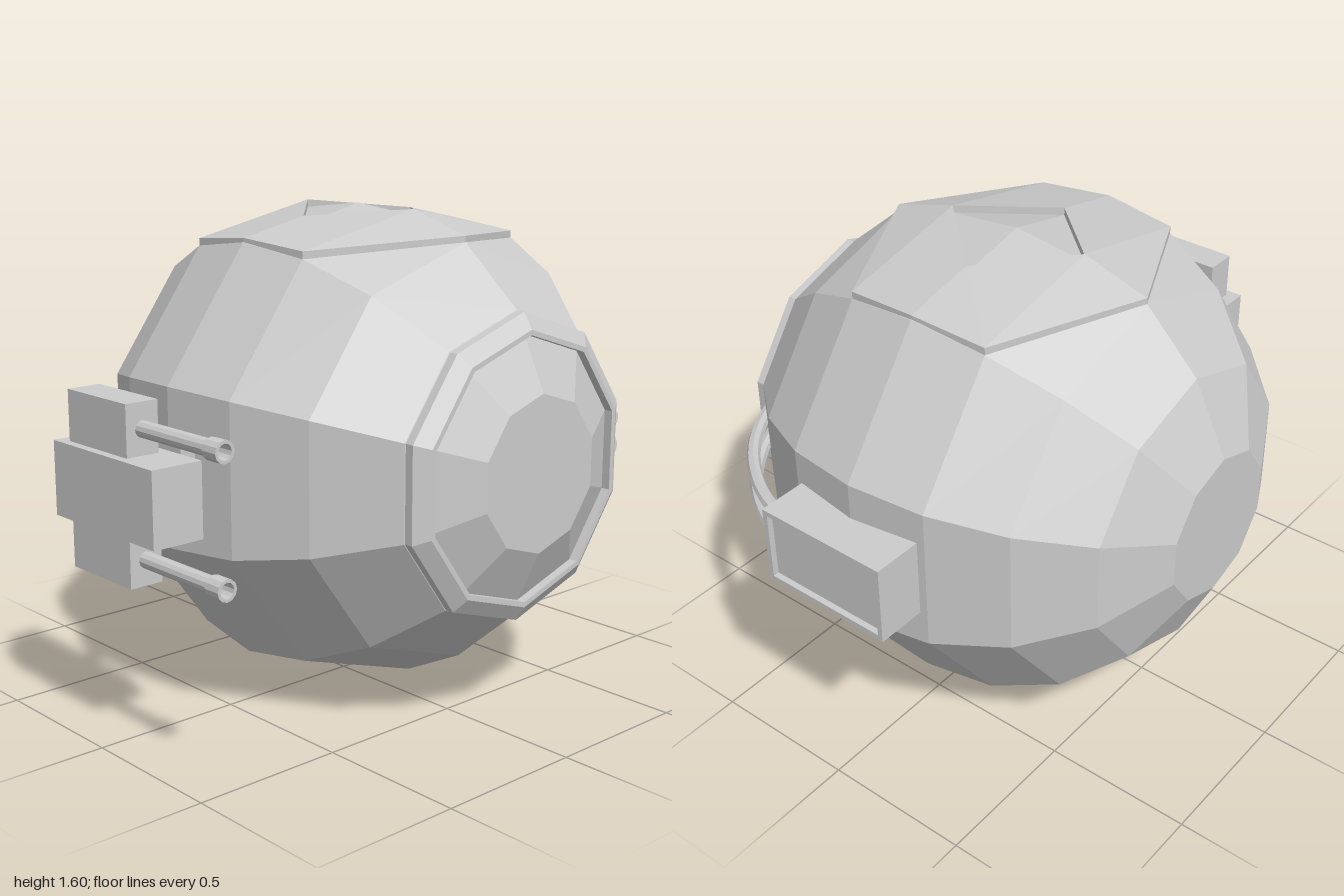
import * as THREE from 'three';

const CY = 0.835, CZ = -0.08; // centre of the ball's axis, which runs along x
const SIDES = 10;

function grey() {
  return new THREE.MeshStandardMaterial({ color: 0xcccccc, flatShading: true, side: THREE.DoubleSide });
}

function add(parent, name, geometry, x = 0, y = 0, z = 0) {
  const mesh = new THREE.Mesh(geometry, grey());
  mesh.name = name;
  mesh.position.set(x, y, z);
  parent.add(mesh);
  return mesh;
}

// Box given by its limits on each axis
function box(parent, name, [x0, x1], [y0, y1], [z0, z1]) {
  return add(parent, name, new THREE.BoxGeometry(x1 - x0, y1 - y0, z1 - z0),
    (x0 + x1) / 2, (y0 + y1) / 2, (z0 + z1) / 2);
}

// Triangles from a list of corner triples
function fromTriangles(tris) {
  const g = new THREE.BufferGeometry();
  g.setAttribute('position', new THREE.Float32BufferAttribute(tris.flat(2), 3));
  g.computeVertexNormals();
  return g;
}

// Lathe turned so that its axis points along +x; profile is [radius, x]
function latheX(profile, sides, phase = 0) {
  const g = new THREE.LatheGeometry(profile.map(([r, x]) => new THREE.Vector2(r, x)), sides);
  g.rotateY(phase);
  g.rotateZ(-Math.PI / 2);
  return g;
}

// Faceted ball with flat ends; its crown is lowered beneath the hatch plate
function ballGeometry() {
  const rings = [[-0.8, 0.25], [-0.685, 0.49], [-0.5, 0.675], [-0.27, 0.79], [-0.015, 0.83],
    [0.24, 0.79], [0.47, 0.675], [0.685, 0.49], [0.8, 0.25]];
  const point = (i, j) => {
    const [x, r] = rings[i], a = (j / SIDES) * Math.PI * 2;
    return [x, Math.min(CY + r * Math.cos(a), 1.525), CZ + r * Math.sin(a)];
  };
  const tris = [];
  for (let j = 0; j < SIDES; j++) {
    for (let i = 0; i < rings.length - 1; i++) {
      const a = point(i, j), b = point(i + 1, j), c = point(i + 1, j + 1), d = point(i, j + 1);
      if ((i < 4) === (j < SIDES / 2)) tris.push([a, d, c], [a, c, b]);
      else tris.push([a, d, b], [b, d, c]);
    }
    tris.push([[-0.8, CY, CZ], point(0, j + 1), point(0, j)]);
    tris.push([[0.8, CY, CZ], point(8, j), point(8, j + 1)]);
  }
  return fromTriangles(tris);
}

// Raised plate on the crown with a sunken diamond panel
function buildHatch(parent) {
  const outline = [[0.47, 1.53, 0], [0.24, 1.498, 0.464], [-0.015, 1.52, 0.485], [-0.27, 1.498, 0.464],
    [-0.5, 1.53, 0], [-0.27, 1.498, -0.464], [-0.015, 1.52, -0.485], [0.24, 1.498, -0.464]]
    .map(([x, y, z]) => [x, y, z + CZ]);
  const diamond = [[0.24, 1.597, 0], [-0.015, 1.573, 0.24], [-0.27, 1.597, 0], [-0.015, 1.573, -0.24]]
    .map(([x, y, z]) => [x, y, z + CZ]);
  const down = ([x, y, z], h) => [x, y - h, z];
  const plate = [], panel = [], centre = [-0.015, 1.602, CZ];
  outline.forEach((p, i) => {
    const q = outline[(i + 1) % 8];
    plate.push([p, q, down(p, 0.03)], [q, down(q, 0.03), down(p, 0.03)]);
  });
  diamond.forEach((d, k) => {
    const e = diamond[(k + 1) % 4];
    const corner = outline[(2 * k + 1) % 8];
    plate.push([d, corner, outline[2 * k]], [d, e, corner], [e, outline[(2 * k + 2) % 8], corner]);
    plate.push([d, down(d, 0.025), e], [e, down(d, 0.025), down(e, 0.025)]);
    panel.push([centre, down(e, 0.025), down(d, 0.025)]);
  });
  // Wind every top face upward
  for (const t of [...plate, ...panel]) {
    const [a, b, c] = t.map((p) => new THREE.Vector3(...p));
    const n = b.sub(a).cross(c.sub(a)).normalize();
    if (n.y < -0.3) t.reverse();
  }
  add(parent, 'hatchPlate', fromTriangles(plate));
  add(parent, 'hatchPanel', fromTriangles(panel));
}

// Twin gun on a short pivot
function buildGun(parent) {
  const gun = new THREE.Group();
  gun.name = 'twinGun';
  parent.add(gun);
  box(gun, 'gunBase', [-0.125, 0.095], [0.725, 0.945], [0.66, 0.745]);
  const pivot = add(gun, 'gunPivot', new THREE.CylinderGeometry(0.038, 0.038, 0.12, 12), -0.015, 0.82, 0.78);
  pivot.rotation.x = Math.PI / 2;
  box(gun, 'gunBody', [-0.2, 0.305], [0.705, 0.94], [0.825, 1]);
  const profile = [[0, 0], [0.026, 0], [0.026, 0.32], [0.034, 0.325], [0.034, 0.385],
    [0.024, 0.385], [0.024, 0.33], [0, 0.33]];
  for (const side of [-1, 1]) {
    const inner = 0.8225 + side * 0.1175, outer = 0.8225 + side * 0.2775;
    box(gun, 'barrelHousing', [-0.155, 0.145], [Math.min(inner, outer), Math.max(inner, outer)], [0.86, 0.972]);
    add(gun, 'gunBarrel', latheX(profile, 12), 0.145, 0.8225 + side * 0.1975, 0.915);
  }
}

// Box at the back with a shallow recessed panel, and hoses to the side port
function buildPowerUnit(parent) {
  const unit = new THREE.Group();
  unit.name = 'powerUnit';
  parent.add(unit);
  box(unit, 'unitBody', [-0.245, 0.22], [0.705, 0.97], [-0.98, -0.83]);
  const rectangle = (w, h, PathType) => new PathType([[-w, -h], [w, -h], [w, h], [-w, h]]
    .map(([x, y]) => new THREE.Vector2(x, y)));
  const frame = rectangle(0.2325, 0.1325, THREE.Shape);
  frame.holes.push(rectangle(0.215, 0.115, THREE.Path));
  add(unit, 'unitFrame', new THREE.ExtrudeGeometry(frame, { depth: 0.02, bevelEnabled: false }),
    -0.0125, 0.8375, -1);
  for (const y of [0.795, 0.89]) {
    const path = new THREE.CatmullRomCurve3([[0.2, -0.915], [0.28, -0.905], [0.4, -0.85],
      [0.53, -0.75], [0.62, -0.64], [0.685, -0.52]].map(([x, z]) => new THREE.Vector3(x, y, z)));
    add(unit, 'hose', new THREE.TubeGeometry(path, 16, 0.022, 8));
  }
}

export function createModel() {
  const model = new THREE.Group();
  model.name = 'gunPod';
  add(model, 'ball', ballGeometry());
  // Rim around the port on the model's left
  const rim = [[0.47, 0.65], [0.487, 0.65], [0.487, 0.715], [0.437, 0.748], [0.42, 0.748], [0.42, 0.7]];
  add(model, 'portRim', latheX(rim, SIDES, Math.PI / 2), 0, CY, CZ);
  buildHatch(model);
  buildGun(model);
  buildPowerUnit(model);
  return model;
}
